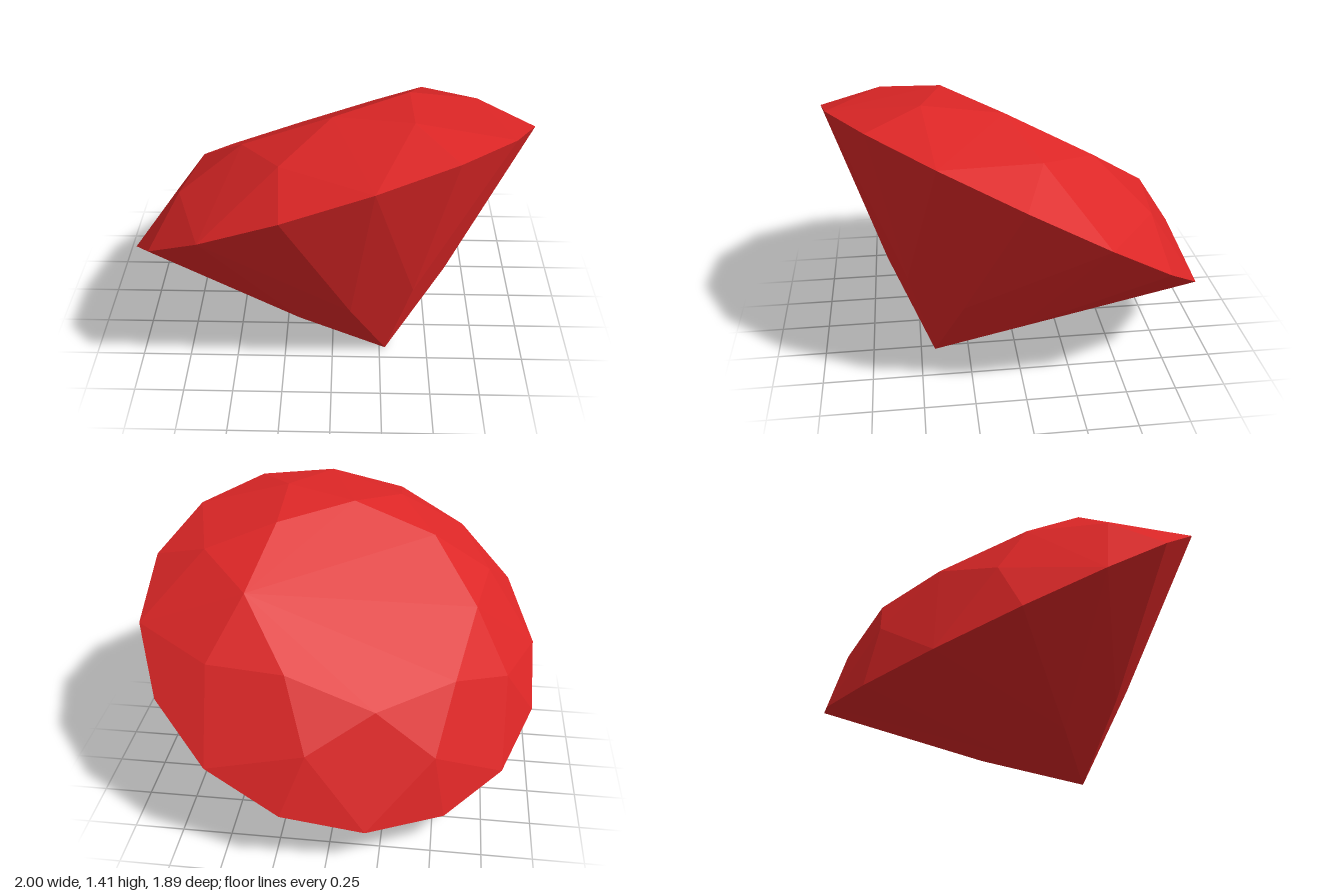
import * as THREE from 'three';

// One facet = a list of corners, counter-clockwise from outside, split into a fan
function facetMesh(name, facets, material) {
  const pos = [];
  for (const f of facets) {
    for (let k = 1; k < f.length - 1; k++) {
      for (const p of [f[0], f[k], f[k + 1]]) pos.push(p.x, p.y, p.z);
    }
  }
  const geo = new THREE.BufferGeometry();
  geo.setAttribute('position', new THREE.Float32BufferAttribute(pos, 3));
  geo.computeVertexNormals();
  const mesh = new THREE.Mesh(geo, material);
  mesh.name = name;
  return mesh;
}

export function createModel() {
  const ruby = new THREE.MeshStandardMaterial({ color: 0xdc2626, flatShading: true });
  ruby.name = 'ruby red';

  // Rings of an eight-fold brilliant cut; i counts eighths of a turn
  const ring = (r, h) => (i) => {
    const a = (i * Math.PI) / 4;
    return new THREE.Vector3(r * Math.sin(a), h, r * Math.cos(a));
  };
  const table = ring(0.597, 0.345);
  const star = ring(0.832, 0.214);
  const girdle = ring(1.067, 0);
  const lower = ring(0.427, -0.584);
  const culet = new THREE.Vector3(0, -0.927, 0);

  const tableFace = [], crown = [], pavilion = [];
  for (let i = 0; i < 8; i++) {
    const prev = i - 0.5, next = i + 0.5;
    tableFace.push(table(next));
    crown.push(
      [table(prev), star(i), table(next)],                   // star facet
      [table(next), star(i), girdle(next), star(i + 1)],     // bezel kite
      [star(i), girdle(i), girdle(next)],                    // upper girdle pair
      [star(i), girdle(prev), girdle(i)],
    );
    pavilion.push(
      [culet, lower(i + 1), girdle(next), lower(i)],         // main kite
      [lower(i), girdle(next), girdle(i)],                   // lower girdle pair
      [lower(i), girdle(i), girdle(prev)],
    );
  }

  const gem = new THREE.Group();
  gem.name = 'gem';
  gem.add(
    facetMesh('table', [tableFace], ruby),
    facetMesh('crown', crown, ruby),
    facetMesh('pavilion', pavilion, ruby),
  );

  // Tilt the stone so that it leans back, resting on its point
  const axis = new THREE.Vector3(-0.302, 0.834, -0.461).normalize();
  const out = new THREE.Vector3(1, 0.385, 0.04).projectOnPlane(axis).normalize();
  const side = new THREE.Vector3().crossVectors(axis, out);
  gem.quaternion.setFromRotationMatrix(new THREE.Matrix4().makeBasis(side, axis, out));
  gem.position.y = 0.775;

  const model = new THREE.Group();
  model.name = 'cutGemstone';
  model.add(gem);
  return model;
}
